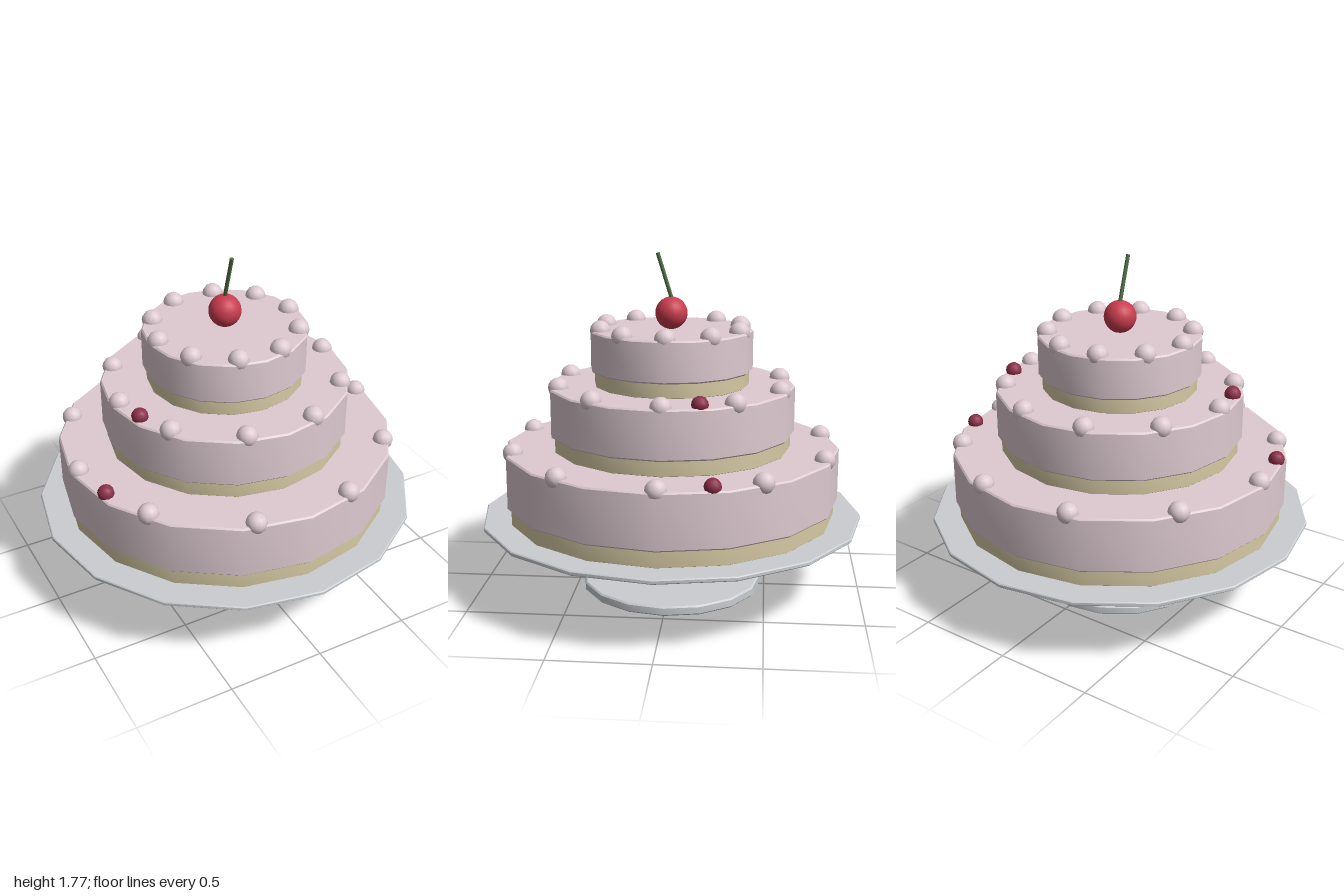
import * as THREE from 'three';
import { toCreasedNormals } from 'three/addons/utils/BufferGeometryUtils.js';

const paint = (color) => new THREE.MeshStandardMaterial({ color });
const icing = paint(0xdecbd1);
const sponge = paint(0xd6caa4);
const china = paint(0xcacdd1);
const berryRed = paint(0x8c2f4a);
const cherryRed = paint(0xc93c4e);
const stalkGreen = paint(0x4c6e42);

function add(parent, name, geometry, material, x = 0, y = 0, z = 0) {
  const mesh = new THREE.Mesh(geometry, material);
  mesh.name = name;
  mesh.position.set(x, y, z);
  parent.add(mesh);
  return mesh;
}

// Sixteen-sided disc with a small bevel on both rims
function disc(radius, y0, y1, bevel) {
  const profile = [
    [0, y0], [radius - bevel, y0], [radius, y0 + bevel],
    [radius, y1 - bevel], [radius - bevel, y1], [0, y1],
  ].map(([r, y]) => new THREE.Vector2(r, y));
  return toCreasedNormals(new THREE.LatheGeometry(profile, 16), 0.6);
}

export function createModel() {
  const cake = new THREE.Group();
  cake.name = 'tieredCake';

  // Cake stand
  const stand = new THREE.Group();
  stand.name = 'cakeStand';
  cake.add(stand);
  add(stand, 'standFoot', disc(0.475, 0, 0.05, 0.008), china);
  add(stand, 'standColumn', new THREE.CylinderGeometry(0.072, 0.072, 0.36, 16), china, 0, 0.22, 0);
  add(stand, 'standPlate', disc(1, 0.385, 0.408, 0.005), china);

  // Tiers: sponge band, overhanging icing, ring of dollops, two berries
  const tiers = [
    { name: 'bottomTier', radius: 0.875, y: [0.405, 0.49, 0.772], ring: 0.83, berries: true },
    { name: 'middleTier', radius: 0.64, y: [0.77, 0.85, 1.1], ring: 0.59, berries: true },
    { name: 'topTier', radius: 0.42, y: [1.098, 1.175, 1.385], ring: 0.37, berries: false },
  ];
  const dollop = new THREE.SphereGeometry(0.053, 12, 8);
  const berry = new THREE.SphereGeometry(0.042, 12, 8);
  for (const { name, radius, y, ring, berries } of tiers) {
    const tier = new THREE.Group();
    tier.name = name;
    cake.add(tier);
    add(tier, 'spongeLayer', disc(radius - 0.019, y[0], y[1] + 0.01, 0.004), sponge);
    add(tier, 'icingLayer', disc(radius, y[1], y[2], 0.008), icing);
    for (let i = 0; i < 10; i++) {
      const a = (i / 10) * Math.PI * 2;
      add(tier, 'creamDollop', dollop, icing, ring * Math.cos(a), y[2], ring * Math.sin(a));
    }
    if (!berries) continue;
    for (const side of [1, -1]) {
      const a = -Math.PI / 10;
      add(tier, 'berry', berry, berryRed,
        side * ring * Math.cos(a), y[2] + 0.013, side * ring * Math.sin(a));
    }
  }

  // Cherry with a stalk leaning to the front
  const cherry = new THREE.Group();
  cherry.name = 'cherry';
  cake.add(cherry);
  add(cherry, 'cherryFruit', new THREE.SphereGeometry(0.083, 20, 14), cherryRed, 0, 1.465, 0);
  const stalk = add(cherry, 'cherryStalk', new THREE.CylinderGeometry(0.01, 0.01, 0.25, 8),
    stalkGreen, 0, 1.65, 0.033);
  stalk.rotation.x = 0.3;

  return cake;
}
